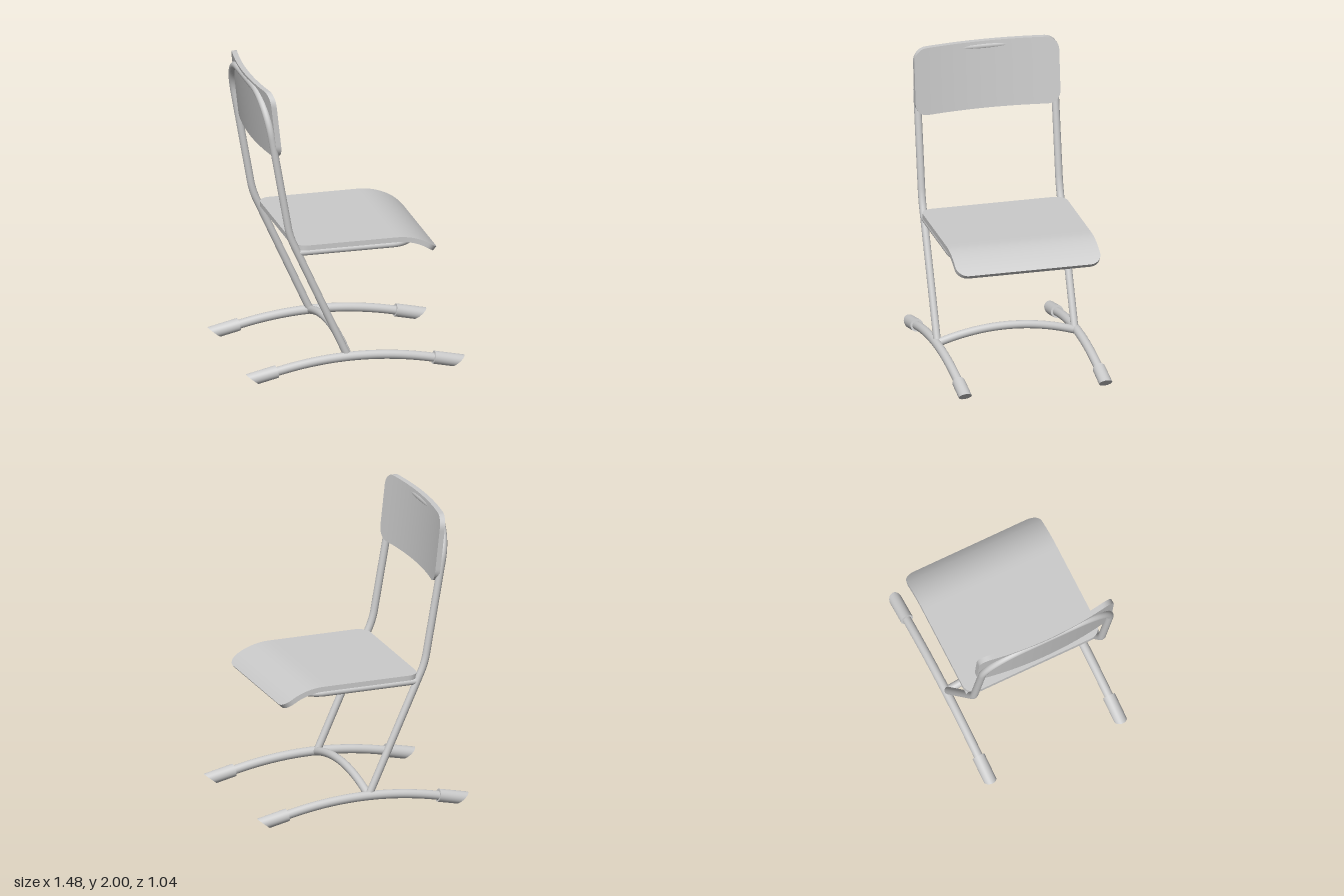
import * as THREE from 'three';
import { toCreasedNormals } from 'three/addons/utils/BufferGeometryUtils.js';

const V = (x, y, z) => new THREE.Vector3(x, y, z);
const material = new THREE.MeshStandardMaterial({ color: 0xcccccc, side: THREE.DoubleSide });

function part(name, geometry, parent) {
  const mesh = new THREE.Mesh(geometry, material);
  mesh.name = name;
  parent.add(mesh);
  return mesh;
}

// Path of straight runs joined by rounded bends; radii[i] belongs to points[i + 1]
function bentPath(points, radii) {
  const path = new THREE.CurvePath();
  let from = points[0];
  for (let i = 1; i < points.length - 1; i++) {
    const p = points[i], r = radii[i - 1];
    const a = p.clone().add(points[i - 1].clone().sub(p).setLength(r));
    const b = p.clone().add(points[i + 1].clone().sub(p).setLength(r));
    path.add(new THREE.LineCurve3(from, a));
    // cubic handles approximate a circular bend
    path.add(new THREE.CubicBezierCurve3(a, a.clone().lerp(p, 0.55), b.clone().lerp(p, 0.55), b));
    from = b;
  }
  path.add(new THREE.LineCurve3(from, points[points.length - 1]));
  return path;
}

const tube = (path, radius, segments) => new THREE.TubeGeometry(path, segments, radius, 16);

// Rounded-corner sheet of length L and width W; place(u, v, depth) bends it into shape
function sheet(L, W, r, place, thickness) {
  const corner = 8, middle = 24, cols = 20, us = [];
  for (let i = 0; i <= corner; i++) us.push(-L / 2 + r * (1 - Math.cos(i / corner * Math.PI / 2)));
  for (let i = 1; i < middle; i++) us.push((i / middle - 0.5) * (L - 2 * r));
  for (let i = corner; i >= 0; i--) us.push(L / 2 - r * (1 - Math.cos(i / corner * Math.PI / 2)));
  const rows = us.length - 1, pos = [], idx = [];
  for (const depth of [0, thickness]) {
    for (const u of us) {
      const over = Math.max(0, Math.abs(u) - (L / 2 - r));
      const half = W / 2 - r + Math.sqrt(Math.max(0, r * r - over * over));
      for (let j = 0; j <= cols; j++) pos.push(...place(u, (j / cols * 2 - 1) * half, depth).toArray());
    }
  }
  const id = (i, j) => i * (cols + 1) + j, back = (rows + 1) * (cols + 1);
  for (let i = 0; i < rows; i++) {
    for (let j = 0; j < cols; j++) {
      const a = id(i, j), b = id(i, j + 1), c = id(i + 1, j), d = id(i + 1, j + 1);
      idx.push(a, b, d, a, d, c);
      idx.push(back + a, back + d, back + b, back + a, back + c, back + d);
    }
  }
  // rim
  const loop = [];
  for (let j = 0; j < cols; j++) loop.push(id(0, j));
  for (let i = 0; i < rows; i++) loop.push(id(i, cols));
  for (let j = cols; j > 0; j--) loop.push(id(rows, j));
  for (let i = rows; i > 0; i--) loop.push(id(i, 0));
  loop.forEach((p, k) => {
    const q = loop[(k + 1) % loop.length];
    idx.push(back + p, back + q, q, back + p, q, p);
  });
  const g = new THREE.BufferGeometry();
  g.setAttribute('position', new THREE.Float32BufferAttribute(pos, 3));
  g.setIndex(idx);
  return toCreasedNormals(g, 0.6);
}

// Foot sleeve along +x, its outer end cut at a slant
function footCap() {
  const length = 0.171, g = new THREE.CylinderGeometry(0.043, 0.043, length, 24);
  g.rotateZ(-Math.PI / 2).translate(length / 2, 0, 0);
  const p = g.attributes.position;
  for (let i = 0; i < p.count; i++) {
    if (p.getX(i) > length / 2) p.setX(i, p.getX(i) + 0.8 * p.getY(i));
  }
  return toCreasedNormals(g.rotateZ(-0.22).translate(0.53, 0.075, 0), 0.6);
}

export function createModel() {
  const model = new THREE.Group();
  model.name = 'chair';
  const side = 0.465;

  // Legs, back posts and top bow in one bent tube
  const half = (s) => [V(-0.055, 0.15, s * side), V(-0.44, 1.0, s * side), V(-0.609, 1.963, s * side)];
  part('backFrame', tube(bentPath([...half(1), ...half(-1).reverse()], [0.06, 0.27, 0.27, 0.06]), 0.025, 180), model);

  // Rail under the seat
  const y = 0.882;
  part('seatRail', tube(bentPath(
    [V(-0.385, y, side), V(0.41, y, side), V(0.41, y, -side), V(-0.385, y, -side)], [0.15, 0.15]), 0.022, 100), model);

  // Seat: flat, then rolling down at the front edge
  const flat = 0.68, R = 0.425, L = flat + R * 0.733;
  part('seat', sheet(L, 0.98, 0.08, (u, v, depth) => {
    const s = u + L / 2, a = Math.max(0, s - flat) / R;
    return V(-0.4 + Math.min(s, flat) + (R - depth) * Math.sin(a), 0.935 - R + (R - depth) * Math.cos(a), v);
  }, 0.034), model);

  // Backrest: leaning and hollowed across its width
  part('backrest', sheet(0.45, 0.98, 0.085, (u, v, depth) => {
    const hollow = 0.048 * (1 - (v / 0.49) ** 2);
    return V(-0.495 - 0.11 * (u + 0.225) - hollow - depth, 1.775 + u, -v);
  }, 0.036), model);

  // Arched bar between the runners
  part('crossBar', tube(new THREE.QuadraticBezierCurve3(
    V(-0.045, 0.13, 0.475), V(-0.045, 0.292, 0), V(-0.045, 0.13, -0.475)), 0.027, 40), model);

  // Arched runners with slanted feet
  for (const s of [1, -1]) {
    const runner = new THREE.Group();
    runner.name = s > 0 ? 'leftRunner' : 'rightRunner';
    runner.position.z = s * 0.475;
    part('runnerTube', tube(new THREE.QuadraticBezierCurve3(
      V(-0.56, 0.067, 0), V(0, 0.203, 0), V(0.56, 0.067, 0)), 0.03, 40), runner);
    part('frontFoot', footCap(), runner);
    part('rearFoot', footCap(), runner).rotation.y = Math.PI;
    model.add(runner);
  }
  return model;
}
